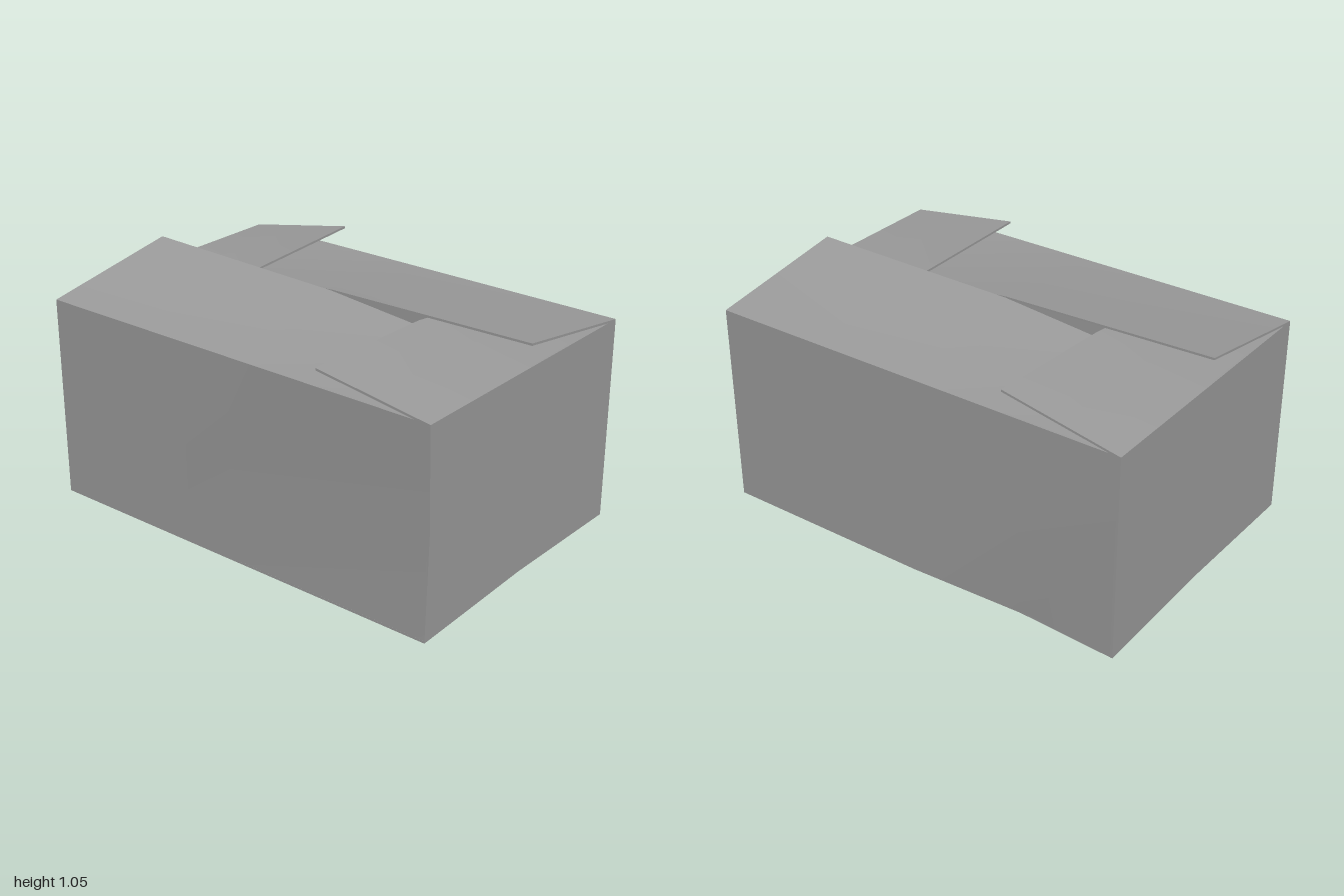
import * as THREE from 'three';
import { toCreasedNormals } from 'three/addons/utils/BufferGeometryUtils.js';

const W = 0.665, D = 1, H = 0.935, T = 0.01;
const xs = [-W, 0, W], ys = [0, H / 2, H], zs = [-D, -0.54, 0, D];
const rev = (a) => [...a].reverse();
const clamp = (v) => Math.max(0, v);

// Slab of cardboard: an outer grid fn(u, v) (u x v points outward) and a copy shifted inward
function panel(name, us, vs, fn, inward, material) {
  const shift = new THREE.Vector3(...inward).multiplyScalar(T);
  const outer = us.map((u) => vs.map((v) => new THREE.Vector3(...fn(u, v))));
  const inner = outer.map((row) => row.map((p) => p.clone().add(shift)));
  const pos = [];
  const quad = (a, b, c, d) => [a, b, c, a, c, d].forEach((p) => pos.push(p.x, p.y, p.z));
  const m = us.length - 1, n = vs.length - 1;
  for (let i = 0; i < m; i++) {
    for (let j = 0; j < n; j++) {
      quad(outer[i][j], outer[i + 1][j], outer[i + 1][j + 1], outer[i][j + 1]);
      quad(inner[i][j], inner[i][j + 1], inner[i + 1][j + 1], inner[i + 1][j]);
    }
    quad(inner[i][0], inner[i + 1][0], outer[i + 1][0], outer[i][0]);
    quad(outer[i][n], outer[i + 1][n], inner[i + 1][n], inner[i][n]);
  }
  for (let j = 0; j < n; j++) {
    quad(outer[0][j], outer[0][j + 1], inner[0][j + 1], inner[0][j]);
    quad(inner[m][j], inner[m][j + 1], outer[m][j + 1], outer[m][j]);
  }
  const geo = new THREE.BufferGeometry();
  geo.setAttribute('position', new THREE.Float32BufferAttribute(pos, 3));
  const mesh = new THREE.Mesh(toCreasedNormals(geo, 0.5), material);
  mesh.name = name;
  return mesh;
}

// Slight wear of the body: arched base, one pinched corner, one dented bottom edge
function worn(x, y, z) {
  const arch = 0.015 * (1 - Math.abs(x) / W) * clamp(1 - y / (H / 2));
  const pinch = 0.015 * clamp(-x / W) * clamp(z) * (1 - Math.abs(y - H / 2) / (H / 2));
  const dent = 0.022 * clamp(x / W) * clamp(1 - Math.abs(z + 0.54) / 0.46) * clamp(1 - y / (H / 2));
  return [x + pinch - dent, y + arch, z];
}

// Piecewise linear height along a flap's free edge
function heightAt(knots, heights, t) {
  let i = 0;
  while (i < knots.length - 2 && t > knots[i + 1]) i++;
  return THREE.MathUtils.mapLinear(t, knots[i], knots[i + 1], heights[i], heights[i + 1]);
}

export function createModel() {
  const group = new THREE.Group();
  const card = new THREE.MeshStandardMaterial({ color: 0x9c9c9c });
  const add = (name, us, vs, fn, inward) => group.add(panel(name, us, vs, fn, inward, card));

  // Body: four walls and the base
  add('frontWall', xs, ys, (x, y) => worn(x, y, D), [0, 0, -1]);
  add('backWall', rev(xs), ys, (x, y) => worn(x, y, -D), [0, 0, 1]);
  add('leftWall', rev(zs), ys, (z, y) => worn(W, y, z), [-1, 0, 0]);
  add('rightWall', zs, ys, (z, y) => worn(-W, y, z), [1, 0, 0]);
  add('base', xs, zs, (x, z) => worn(x, 0, z), [0, 1, 0]);

  // Four interleaved top flaps: each lies over one neighbour and under the other.
  // s = 1 gives the front and left flaps, s = -1 the same pair turned half a circle.
  const ts = [0, 0.5, 1];
  const shortKnots = [-W, 0, W - T], longKnots = [-D, -0.46, 0, D];
  for (const s of [1, -1]) {
    const corner = s > 0 ? 1.012 : 1.038;
    const longTip = s > 0 ? 1.037 : 1.05;

    // Short flap, hinged on the end wall, its far end tucked under a long flap
    add(s > 0 ? 'frontFlap' : 'backFlap', shortKnots, ts, (x, t) => {
      const tip = heightAt(shortKnots, [corner, 1.0, 0.918], x);
      return [s * x, H + (tip - H) * t, s * (D - 0.54 * t)];
    }, [0, -1, 0]);

    // Long flap, hinged on the side wall, its far end tucked under a short flap
    add(s > 0 ? 'leftFlap' : 'rightFlap', rev(longKnots), ts, (z, t) => {
      const tip = heightAt(longKnots, [0.925, 0.978, 1.022, s > 0 ? 1.037 : 1.05], z);
      const height = s > 0 ? heightAt(longKnots, [1.05, 1.035, 1.022, 0.925], z) : tip;
      return [s * (W - (W - 0.005) * t), H + ((s > 0 ? tip : height) - H) * t, s * z];
    }, [0, -1, 0]);
  }
  return group;
}
